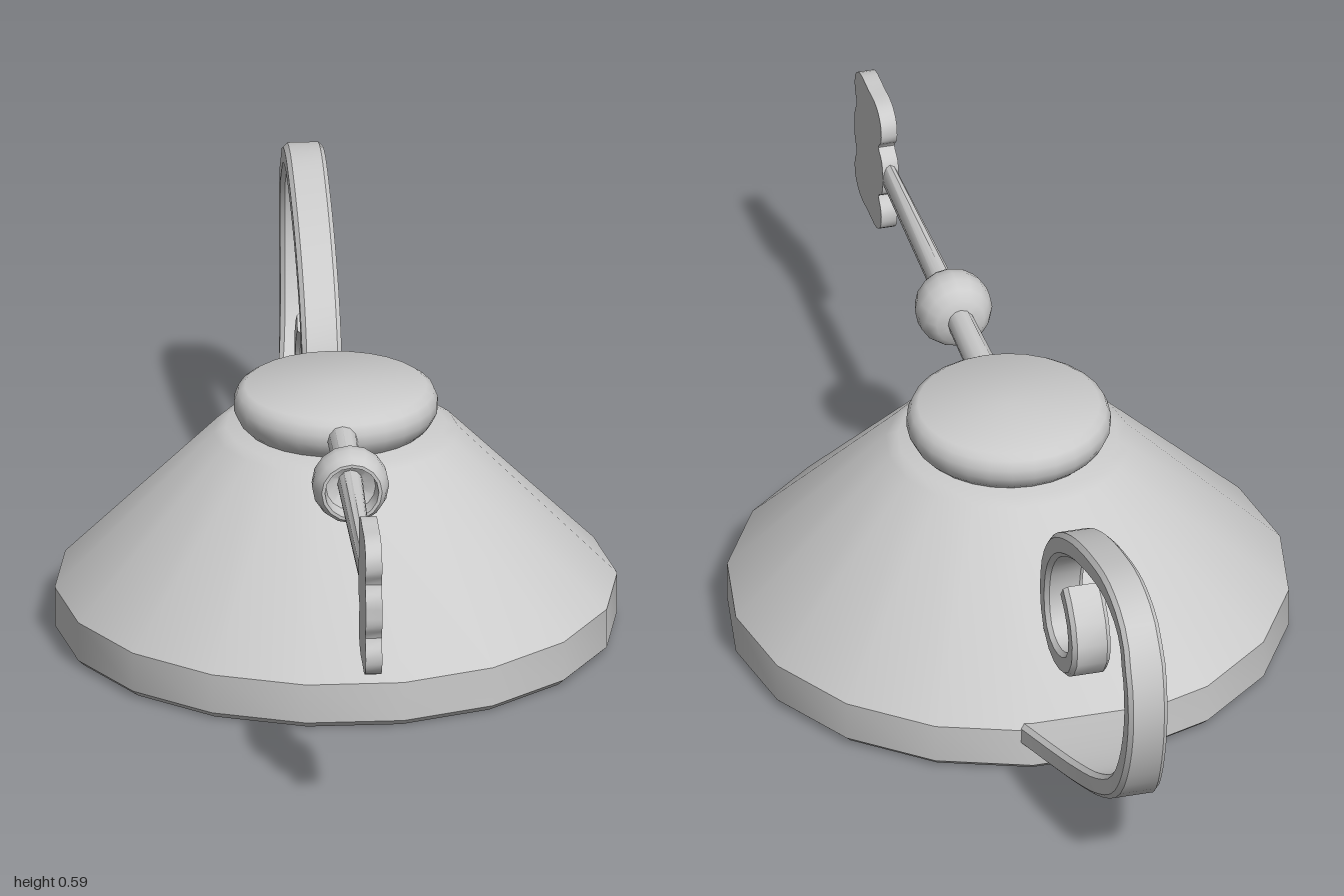
import * as THREE from 'three';
import { toCreasedNormals } from 'three/addons/utils/BufferGeometryUtils.js';

const material = new THREE.MeshStandardMaterial({ color: 0xcccccc });
const AXIS_Z = -0.013; // centre of the body
const ROD_Y = 0.427; // height of the wick key

function part(name, geometry, crease = 0.6) {
  const mesh = new THREE.Mesh(toCreasedNormals(geometry, crease), material);
  mesh.name = name;
  return mesh;
}

function lathe(profile, sides) {
  return new THREE.LatheGeometry(profile.map(([r, y]) => new THREE.Vector2(r, y)), sides);
}

// Chamfered strap swept along a curve in the z-y plane; halfWidth(t) gives its spread in x
function strap(curve, steps, halfWidth, halfThick, chamfer) {
  const positions = [];
  const index = [];
  for (let i = 0; i <= steps; i++) {
    const p = curve.getPointAt(i / steps);
    const t = curve.getTangentAt(i / steps);
    const w = halfWidth(p, i / steps);
    const h = halfThick;
    const c = chamfer;
    const section = [[w, c - h], [w, h - c], [w - c, h], [c - w, h], [-w, h - c], [-w, c - h], [c - w, -h], [w - c, -h]];
    for (const [u, v] of section) positions.push(u, p.y + t.z * v, p.z - t.y * v);
  }
  for (let i = 0; i < steps; i++) {
    for (let j = 0; j < 8; j++) {
      const a = i * 8 + j;
      const b = i * 8 + (j + 1) % 8;
      index.push(a, b, b + 8, a, b + 8, a + 8);
    }
  }
  const last = steps * 8;
  for (let j = 1; j < 7; j++) {
    index.push(0, j + 1, j, last, last + j, last + j + 1);
  }
  const geometry = new THREE.BufferGeometry();
  geometry.setAttribute('position', new THREE.Float32BufferAttribute(positions, 3));
  geometry.setIndex(index);
  return geometry;
}

export function createModel() {
  const model = new THREE.Group();
  model.name = 'oilLamp';

  // Conical reservoir
  const body = part('body', lathe([
    [0, 0], [0.497, 0], [0.51, 0.012], [0.51, 0.086], [0.222, 0.38], [0.2, 0.39], [0, 0.39],
  ], 18));
  body.rotation.y = Math.PI / 18;
  body.position.z = AXIS_Z;
  model.add(body);

  // Rounded collar on top
  const collar = part('collar', lathe([
    [0, 0.38], [0.16, 0.385], [0.175, 0.4], [0.185, 0.42], [0.185, 0.438], [0.178, 0.455], [0.165, 0.464], [0, 0.464],
  ], 28), 0.75);
  collar.position.z = AXIS_Z - 0.005;
  model.add(collar);

  // Wick key: rod, cup and scalloped grip
  const wickKey = new THREE.Group();
  wickKey.name = 'wickKey';
  wickKey.position.y = ROD_Y;

  const rodGeometry = new THREE.CylinderGeometry(0.028, 0.028, 0.7, 12).rotateX(Math.PI / 2).translate(0, 0, 0.48);
  const pos = rodGeometry.attributes.position;
  for (let i = 0; i < pos.count; i++) {
    // the rod flattens towards the grip
    const k = THREE.MathUtils.clamp((pos.getZ(i) - 0.13) / 0.7, 0, 1);
    pos.setX(i, pos.getX(i) * (1 - 0.5 * k));
  }
  wickKey.add(part('keyRod', rodGeometry));

  wickKey.add(part('keyCup', lathe([
    [0.02, 0.312], [0.045, 0.316], [0.06, 0.332], [0.069, 0.352], [0.07, 0.375], [0.064, 0.398],
    [0.055, 0.412], [0.049, 0.412], [0.045, 0.38], [0.02, 0.365],
  ], 16).rotateX(Math.PI / 2), 0.7));

  const half = [
    [0.81, 0.035], [0.833, 0.052], [0.815, 0.075], [0.817, 0.108], [0.845, 0.13], [0.905, 0.132],
    [0.965, 0.13], [0.994, 0.108], [0.997, 0.078], [0.984, 0.052], [0.997, 0.028],
  ];
  const outline = [[0.802, 0], ...half, [1, 0], ...half.map(([z, y]) => [z, -y]).reverse()];
  const loop = new THREE.CatmullRomCurve3(outline.map(([z, y]) => new THREE.Vector3(z, y, 0)), true);
  const gripShape = new THREE.Shape(loop.getPoints(72).slice(0, -1).map((p) => new THREE.Vector2(p.x, p.y)));
  const grip = new THREE.ExtrudeGeometry(gripShape, { depth: 0.03, bevelEnabled: false })
    .translate(0, 0, -0.015).rotateY(-Math.PI / 2);
  wickKey.add(part('keyGrip', grip));
  model.add(wickKey);

  // Scrolled handle, flaring where it meets the body
  const path = [
    [-0.5, 0.073], [-0.62, 0.095], [-0.73, 0.122], [-0.82, 0.155], [-0.895, 0.205], [-0.945, 0.285],
    [-0.972, 0.39], [-0.962, 0.48], [-0.92, 0.548], [-0.83, 0.572], [-0.71, 0.554], [-0.56, 0.503],
    [-0.45, 0.435], [-0.395, 0.36], [-0.385, 0.275], [-0.41, 0.227], [-0.46, 0.211], [-0.525, 0.227],
    [-0.57, 0.262], [-0.58, 0.31], [-0.56, 0.352], [-0.52, 0.383],
  ];
  const curve = new THREE.CatmullRomCurve3(path.map(([z, y]) => new THREE.Vector3(0, y, z)));
  const flare = (p, t) => {
    const k = t < 0.4 ? THREE.MathUtils.clamp((p.z + 1) / 0.5, 0, 1) : 0;
    return 0.036 + 0.074 * k ** 1.6;
  };
  model.add(part('handle', strap(curve, 56, flare, 0.022, 0.008)));

  return model;
}
